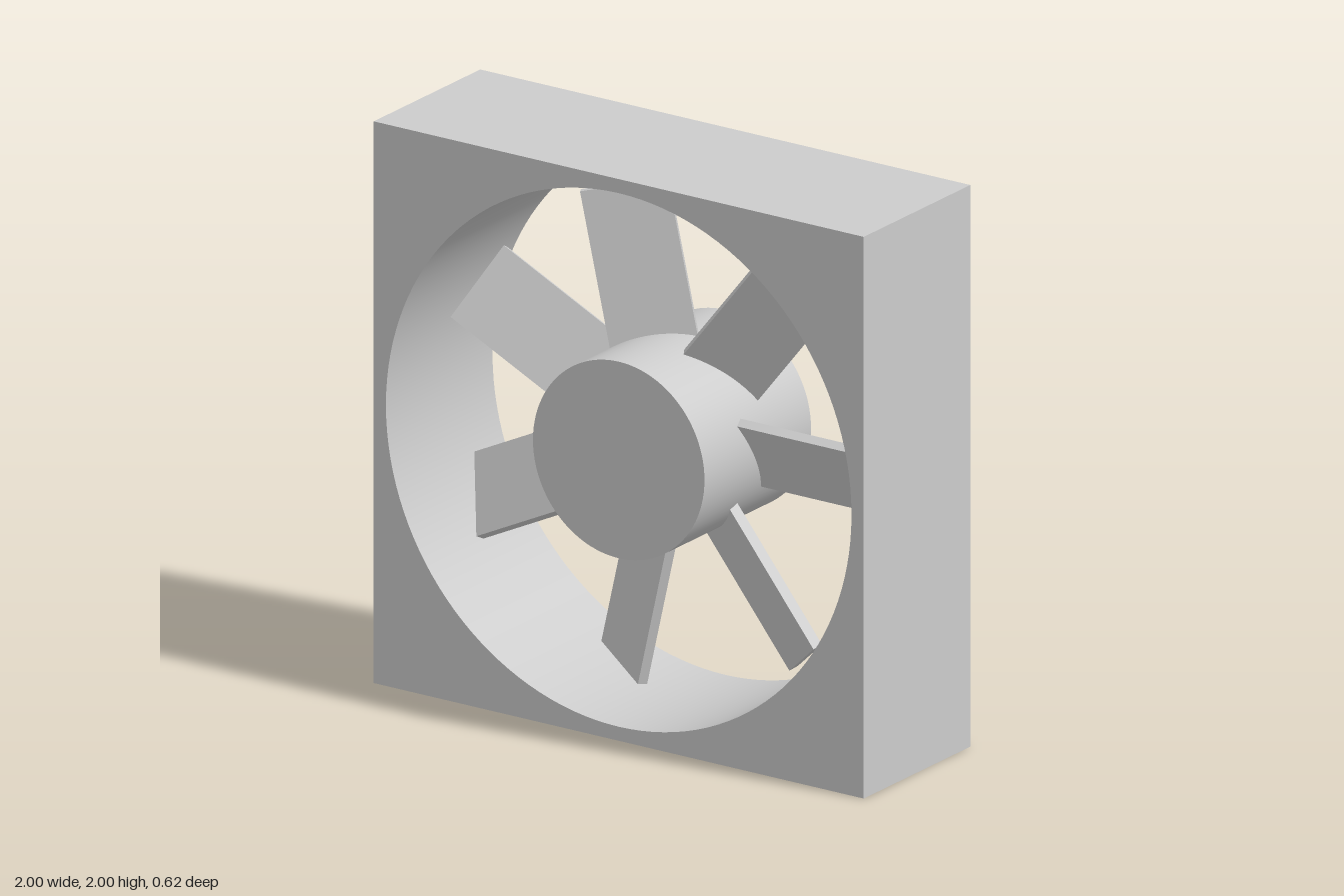
import * as THREE from 'three';

const DEPTH = 0.625;
const BLADES = 7;

export function createModel() {
  const model = new THREE.Group();
  model.name = 'axialFan';
  const grey = new THREE.MeshStandardMaterial({ color: 0xcccccc });
  grey.name = 'light grey';

  function add(parent, name, geometry) {
    const mesh = new THREE.Mesh(geometry, grey);
    mesh.name = name;
    parent.add(mesh);
    return mesh;
  }

  // Square housing with a round through-hole
  const outline = new THREE.Shape([
    new THREE.Vector2(-1, -1), new THREE.Vector2(1, -1),
    new THREE.Vector2(1, 1), new THREE.Vector2(-1, 1),
  ]);
  const bore = new THREE.Path();
  bore.absarc(0, 0, 0.95, 0, Math.PI * 2, true);
  outline.holes.push(bore);
  const housing = new THREE.ExtrudeGeometry(outline, {
    depth: DEPTH, bevelEnabled: false, curveSegments: 64,
  });
  housing.translate(0, 0, -DEPTH / 2);

  // Smooth the wall of the bore; the flat faces keep their normals
  const pos = housing.attributes.position;
  const normal = housing.attributes.normal;
  for (let i = 0; i < pos.count; i++) {
    const x = pos.getX(i), y = pos.getY(i), r = Math.hypot(x, y);
    if (r < 0.96 && Math.abs(normal.getZ(i)) < 0.5) normal.setXYZ(i, -x / r, -y / r, 0);
  }
  add(model, 'housing', housing).position.y = 1;

  // Rotor: hub flush with both faces, and pitched flat blades
  const rotor = new THREE.Group();
  rotor.name = 'rotor';
  rotor.position.y = 1;
  model.add(rotor);
  add(rotor, 'hub', new THREE.CylinderGeometry(0.35, 0.35, DEPTH, 96).rotateX(Math.PI / 2));

  const inner = 0.25, outer = 0.875;
  const blade = new THREE.BoxGeometry(outer - inner, 0.3, 0.035);
  blade.rotateX(Math.PI / 6);
  blade.translate((inner + outer) / 2, 0, 0);
  for (let i = 0; i < BLADES; i++) {
    add(rotor, `blade${i + 1}`, blade).rotation.z = (i / BLADES) * Math.PI * 2;
  }
  return model;
}
